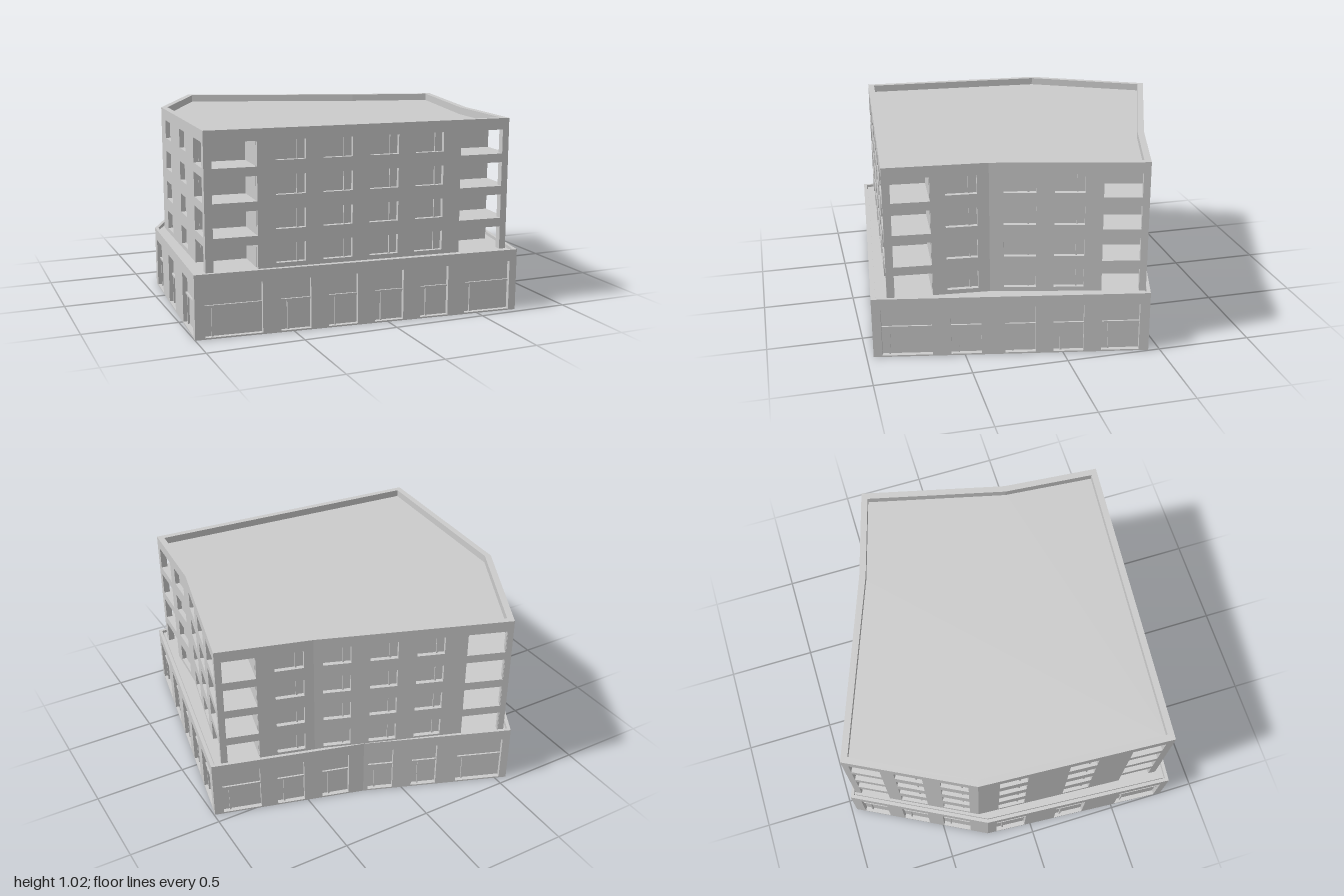
import * as THREE from 'three';

const grey = new THREE.MeshStandardMaterial({ color: 0xcccccc, flatShading: true });
const FLOOR = 0.173;

// Footprints as [x, z], running front-left, front-right, back-right, back-left
const LOWER = [[-1, 0.81], [0.72, 0.965], [0.995, -0.44], [0.2, -0.67], [-0.56, -0.97], [-0.93, -0.26]];
const UPPER = [[-0.925, 0.755], [0.7, 0.88], [0.745, 0.35], [0.935, -0.435], [0.45, -0.575], [-0.535, -0.935], [-0.865, -0.295]];

// Turns start and end coordinates along one axis into fractions of a wall
const along = (a, b, list) => list.map(([s, e]) => [(s - a) / (b - a), (e - a) / (b - a)]);

const FRONT_WINDOWS = [[-0.567, -0.412], [-0.32, -0.165], [-0.073, 0.082], [0.175, 0.33]];

// Ground floor shop openings, wall by wall
const SHOPS = [
  along(-1, 0.72, [[-0.95, -0.66], ...FRONT_WINDOWS, [0.425, 0.68]]),
  along(0.965, -0.44, [[0.92, 0.665], [0.57, 0.415], [0.295, 0.14], [0.05, -0.105], [-0.195, -0.39]]),
  [[0.06, 0.31], [0.42, 0.6], [0.72, 0.9]],
  [[0.03, 0.2], [0.33, 0.5], [0.64, 0.95]],
  [[0.07, 0.26], [0.37, 0.56], [0.67, 0.87]],
  [[0.05, 0.21], [0.38, 0.54], [0.73, 0.96]],
];
// Upper windows and corner balcony openings, wall by wall
const WINDOWS = [
  along(-0.925, 0.7, FRONT_WINDOWS),
  along(0.88, 0.35, [[0.57, 0.41]]),
  along(0.35, -0.435, [[0.28, 0.12], [0.03, -0.12]]),
  [[0.6, 0.9]],
  [[0.045, 0.185], [0.28, 0.42], [0.515, 0.655]],
  [[0.38, 0.59], [0.72, 0.93]],
  [[0.11, 0.255], [0.47, 0.615]],
];
const BALCONIES = [
  along(-0.925, 0.7, [[-0.885, -0.66], [0.427, 0.665]]),
  along(0.88, 0.35, [[0.84, 0.645]]),
  along(0.35, -0.435, [[-0.21, -0.4]]),
  [[0.06, 0.41]],
  [[0.77, 0.97]],
  [[0.05, 0.28]],
  [[0.79, 0.96]],
];
// Balcony recess at each upper corner: depth along previous and next wall
const RECESS = { 0: [0.22, 0.265], 1: [0.275, 0.235], 3: [0.23, 0.207], 5: [0.24, 0.2] };

function direction(p, q) {
  const l = Math.hypot(q[0] - p[0], q[1] - p[1]);
  return [(q[0] - p[0]) / l, (q[1] - p[1]) / l, l];
}

// Moves every side of a footprint inwards by d
function inset(poly, d) {
  const n = poly.length;
  return poly.map((p, i) => {
    const u = direction(poly[(i + n - 1) % n], p);
    const v = direction(p, poly[(i + 1) % n]);
    const a = [u[1], -u[0]], b = [v[1], -v[0]];
    const k = d / (1 + a[0] * b[0] + a[1] * b[1]);
    return [p[0] + (a[0] + b[0]) * k, p[1] + (a[1] + b[1]) * k];
  });
}

// Cuts the balcony recesses out of the corners of a footprint
function notch(poly, d) {
  const n = poly.length;
  return poly.flatMap((p, i) => {
    if (!RECESS[i]) return [p];
    const u = direction(p, poly[(i + n - 1) % n]);
    const v = direction(p, poly[(i + 1) % n]);
    const a = RECESS[i][0] - d, b = RECESS[i][1] - d;
    return [[a, 0], [a, b], [0, b]].map(([s, t]) =>
      [p[0] + u[0] * s + v[0] * t, p[1] + u[1] * s + v[1] * t]);
  });
}

function add(parent, name, geometry) {
  const mesh = new THREE.Mesh(geometry, grey);
  mesh.name = name;
  parent.add(mesh);
  return mesh;
}

// Upright prism over a footprint, optionally hollow
function prism(parent, name, poly, y0, y1, hole) {
  const points = (list) => list.map(([x, z]) => new THREE.Vector2(x, -z));
  const shape = new THREE.Shape(points(poly));
  if (hole) shape.holes.push(new THREE.Path(points(hole)));
  const geometry = new THREE.ExtrudeGeometry(shape, { depth: y1 - y0, bevelEnabled: false });
  geometry.rotateX(-Math.PI / 2).translate(0, y0, 0);
  return add(parent, name, geometry);
}

function rectangle(path, x0, x1, y0, y1) {
  path.moveTo(x0, y0);
  path.lineTo(x1, y0);
  path.lineTo(x1, y1);
  path.lineTo(x0, y1);
  path.closePath();
  return path;
}

// Wall from p to q with openings [x0, x1, y0, y1]; local +z faces outwards
function wall(parent, name, p, q, y0, y1, thickness, openings) {
  const [dx, dz, length] = direction(p, q);
  const group = new THREE.Group();
  group.name = name;
  group.position.set(p[0], 0, p[1]);
  group.rotation.y = Math.atan2(-dz, dx);
  const shape = rectangle(new THREE.Shape(), 0, length, y0, y1);
  for (const o of openings) shape.holes.push(rectangle(new THREE.Path(), o[0] * length, o[1] * length, o[2], o[3]));
  const geometry = new THREE.ExtrudeGeometry(shape, { depth: thickness, bevelEnabled: false });
  add(group, 'wallPanel', geometry.translate(0, 0, -thickness));
  parent.add(group);
  return { group, length };
}

function bar(parent, name, x0, x1, y0, y1) {
  add(parent, name, new THREE.BoxGeometry(x1 - x0, y1 - y0, 0.014))
    .position.set((x0 + x1) / 2, (y0 + y1) / 2, -0.022);
}

export function createModel() {
  const model = new THREE.Group();
  model.name = 'cornerBuilding';

  // Ground floor: recessed glazing body, walls with shop fronts, terrace parapet
  const ground = new THREE.Group();
  ground.name = 'groundFloor';
  model.add(ground);
  prism(ground, 'baseSlab', LOWER, 0, 0.006);
  prism(ground, 'shopGlazingAndTerrace', inset(LOWER, 0.025), 0.006, 0.318);
  prism(ground, 'terraceParapet', LOWER, 0.3, 0.33, inset(LOWER, 0.018));
  LOWER.forEach((p, i) => {
    const q = LOWER[(i + 1) % LOWER.length];
    const holes = SHOPS[i].map(([a, b]) => [a, b, 0.008, 0.27]);
    const { group, length } = wall(ground, 'shopWall', p, q, 0.004, 0.3, 0.03, holes);
    for (const [a, b] of SHOPS[i]) {
      const x0 = a * length, x1 = b * length;
      bar(group, 'transom', x0, x1, 0.157, 0.167);
      bar(group, 'doorMullion', x0 + 0.035, x0 + 0.043, 0.008, 0.157);
    }
  });

  // Upper storeys: recessed body with open corners, slabs, walls, roof parapet
  const upper = new THREE.Group();
  upper.name = 'upperStoreys';
  model.add(upper);
  prism(upper, 'windowGlazingBody', notch(inset(UPPER, 0.025), 0.025), 0.31, 0.97);
  const slab = inset(UPPER, 0.02);
  for (let k = 1; k < 4; k++) {
    const top = 0.833 - FLOOR * (k - 1);
    prism(upper, 'floorSlab', slab, top - 0.046, top);
  }
  prism(upper, 'roofSlab', slab, 0.96, 0.98);
  prism(upper, 'roofParapet', UPPER, 0.97, 1.02, inset(UPPER, 0.035));

  UPPER.forEach((p, i) => {
    const q = UPPER[(i + 1) % UPPER.length];
    const holes = [];
    for (let k = 0; k < 4; k++) {
      const top = 0.96 - FLOOR * k;
      for (const [a, b] of WINDOWS[i]) holes.push([a, b, top - 0.1, top]);
      for (const [a, b] of BALCONIES[i]) holes.push([a, b, top - 0.127, top]);
    }
    const { group, length } = wall(upper, 'windowWall', p, q, 0.305, 0.97, 0.035, holes);
    for (let k = 0; k < 4; k++) {
      const top = 0.96 - FLOOR * k;
      for (const [, b] of WINDOWS[i]) {
        bar(group, 'windowMullion', b * length - 0.043, b * length - 0.035, top - 0.1, top);
      }
    }
  });

  return model;
}
